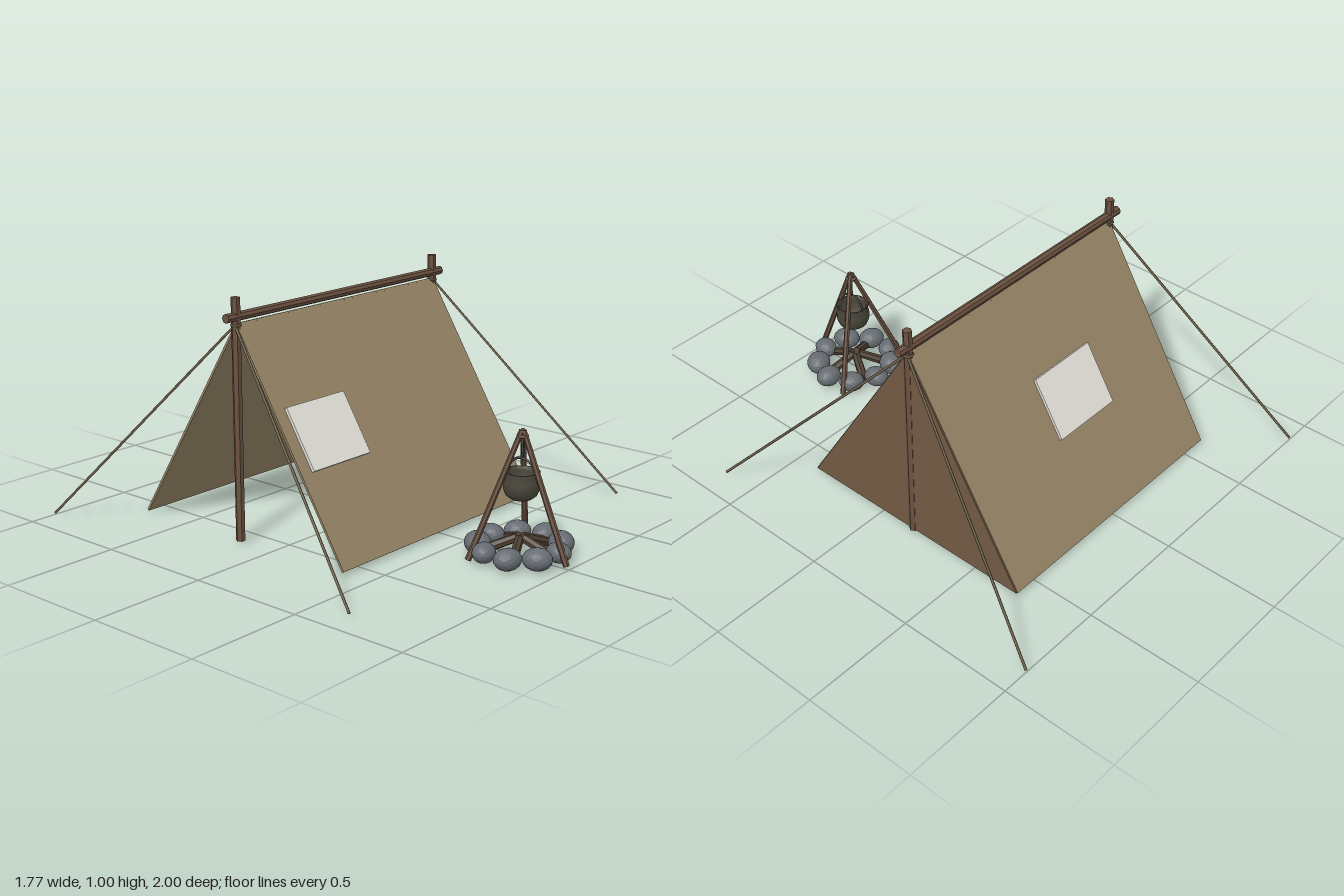
import * as THREE from 'three';

const mat = (name, color, extra = {}) => {
  const m = new THREE.MeshStandardMaterial({ color, ...extra });
  m.name = name;
  return m;
};

const V = (x, y, z) => new THREE.Vector3(x, y, z);
const RIDGE_Z = -0.17, RIDGE_Y = 0.905, BASE_Y = 0.02, HALF = 0.553;
const FIRE_Z = 0.768;

export function createModel() {
  const canvas = mat('canvas', 0x968466);
  const endCloth = mat('brown cloth', 0x725a44, { side: THREE.DoubleSide });
  const patchCloth = mat('pale patch', 0xe4e2da);
  const wood = mat('wood', 0x6a5140, { flatShading: true });
  const rope = mat('rope', 0x6a5d46);
  const iron = mat('iron', 0x4a463b, { side: THREE.DoubleSide });
  const stone = mat('stone', 0x666c72, { flatShading: true });
  const logWood = mat('charred wood', 0x4e4033, { flatShading: true });

  const model = new THREE.Group();
  model.name = 'campsite';

  const add = (parent, name, geometry, material, x = 0, y = 0, z = 0) => {
    const mesh = new THREE.Mesh(geometry, material);
    mesh.name = name;
    mesh.position.set(x, y, z);
    parent.add(mesh);
    return mesh;
  };

  // Straight rod between two points
  const rod = (parent, name, a, b, r0, r1, sides, material) => {
    const dir = b.clone().sub(a);
    const geo = new THREE.CylinderGeometry(r1, r0, dir.length(), sides, 1, false, Math.PI / 2);
    const mesh = add(parent, name, geo, material);
    mesh.position.copy(a).add(b).multiplyScalar(0.5);
    mesh.quaternion.setFromUnitVectors(V(0, 1, 0), dir.normalize());
    return mesh;
  };

  // Tent
  const tent = new THREE.Group();
  tent.name = 'tent';
  tent.position.z = RIDGE_Z;
  model.add(tent);

  const rise = RIDGE_Y - BASE_Y;
  const slope = Math.hypot(rise, HALF);

  // Sloping roof sheets, each with a raised patch
  for (const [name, turn, patchX] of [['front', 0, -0.385], ['back', Math.PI, 0.055]]) {
    const side = new THREE.Group();
    side.name = name + 'Roof';
    side.position.y = RIDGE_Y;
    side.rotation.y = turn;
    tent.add(side);
    const tilt = new THREE.Group();
    tilt.name = name + 'Slope';
    tilt.rotation.x = -Math.atan2(HALF, rise);
    side.add(tilt);
    add(tilt, name + 'Sheet', new THREE.BoxGeometry(1.215, slope, 0.01), canvas, 0, -slope / 2, -0.002);
    add(tilt, name + 'Patch', new THREE.BoxGeometry(0.33, 0.27, 0.014), patchCloth, patchX, -0.51, 0.009);
  }

  // Closed end at the left, made of two triangular flaps
  for (const s of [1, -1]) {
    const flap = new THREE.Shape([
      new THREE.Vector2(0, RIDGE_Y),
      new THREE.Vector2(0, BASE_Y),
      new THREE.Vector2(s * HALF, BASE_Y),
    ]);
    const geo = new THREE.ExtrudeGeometry(flap, { depth: 0.007, bevelEnabled: false });
    const mesh = add(tent, 'endFlap', geo, endCloth, 0.606, 0, 0);
    mesh.rotation.y = Math.PI / 2;
  }

  // Ridge pole
  rod(tent, 'ridgePole', V(-0.66, 0.933, 0), V(0.66, 0.933, 0), 0.019, 0.019, 8, wood);

  // Upright poles, lashings and guy ropes
  for (const s of [-1, 1]) {
    rod(tent, 'uprightPole', V(s * 0.605, 0.015, 0), V(s * 0.605, 1.01, 0), 0.019, 0.019, 6, wood);
    const lashing = add(tent, 'lashing', new THREE.TorusGeometry(0.018, 0.005, 6, 12), rope, s * 0.605, 0.9, 0);
    lashing.rotation.x = Math.PI / 2;
    for (const endZ of [0.825, -0.828]) {
      rod(tent, 'guyRope', V(s * 0.61, 0.9, 0), V(s * 0.88, 0.015, endZ), 0.0055, 0.0055, 6, rope);
    }
  }

  // Campfire
  const fire = new THREE.Group();
  fire.name = 'campfire';
  fire.position.z = FIRE_Z;
  model.add(fire);

  // Ring of stones
  for (let i = 0; i < 9; i++) {
    const a = (i / 9) * Math.PI * 2;
    const size = 0.058 + 0.004 * Math.sin(i * 2.3);
    const rock = add(fire, 'ringStone', new THREE.IcosahedronGeometry(size, 2), stone,
      Math.cos(a) * 0.17, 0.053, Math.sin(a) * 0.165);
    rock.scale.set(1, 0.76, 0.86);
    rock.rotation.y = i * 0.7;
  }

  // Logs leaning in to the middle
  for (let i = 0; i < 5; i++) {
    const a = (12 + i * 72) * Math.PI / 180;
    const c = Math.cos(a), s = Math.sin(a);
    rod(fire, 'log', V(c * 0.145, 0.035, s * 0.145), V(c * 0.015, 0.085, s * 0.015), 0.021, 0.018, 7, logWood);
  }

  // Tripod
  for (let i = 0; i < 3; i++) {
    const a = Math.PI / 2 + i * Math.PI * 2 / 3;
    const c = Math.cos(a), s = Math.sin(a);
    rod(fire, 'tripodLeg', V(c * 0.22, 0.018, s * 0.22), V(c * 0.004, 0.522, s * 0.004), 0.013, 0.011, 6, wood);
  }
  const knot = add(fire, 'tripodLashing', new THREE.TorusGeometry(0.018, 0.007, 6, 12), rope, 0, 0.5, 0);
  knot.rotation.x = Math.PI / 2;

  // Cooking pot with hoop handle and hanging line
  const profile = [[0, 0.245], [0.042, 0.247], [0.062, 0.262], [0.073, 0.29], [0.073, 0.32],
    [0.066, 0.345], [0.073, 0.357], [0.064, 0.357], [0.06, 0.34], [0.062, 0.3], [0.04, 0.262], [0, 0.258]];
  add(fire, 'pot', new THREE.LatheGeometry(profile.map(p => new THREE.Vector2(...p)), 16), iron);
  const handle = add(fire, 'potHandle', new THREE.TorusGeometry(0.063, 0.005, 6, 16, Math.PI), iron, 0, 0.347, 0);
  handle.rotation.y = Math.PI / 2;
  rod(fire, 'hangingLine', V(0, 0.405, 0), V(0, 0.505, 0), 0.005, 0.005, 6, iron);

  return model;
}
